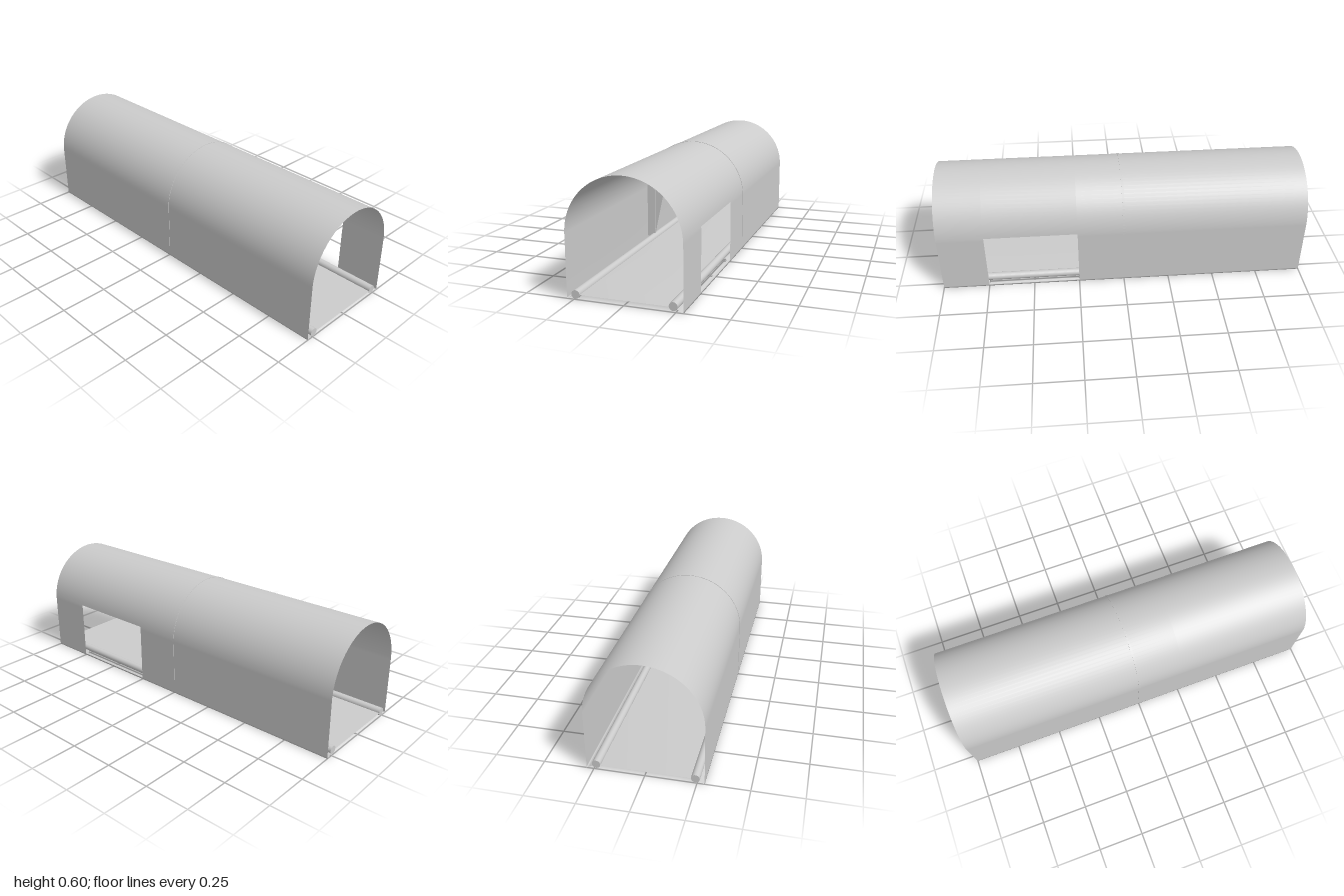
import * as THREE from 'three';

const SPRING = 0.313; // height where the walls turn into the arch
const grey = new THREE.MeshStandardMaterial({ color: 0xcccccc, side: THREE.DoubleSide });

function addMesh(parent, name, geometry) {
  const mesh = new THREE.Mesh(geometry, grey);
  mesh.name = name;
  parent.add(mesh);
  return mesh;
}

// Thin closed cross-section swept along z, with a rectangular opening in one wall
function shellGeometry() {
  const R = 0.286;
  const half = [[0.24, 0.024], [0.271, 0.008], [R, 0], [R, 0.008], [R, 0.05], [R, SPRING]];
  const start = Math.asin((0.33 - SPRING) / R), steps = 20;
  for (let i = 0; i < steps; i++) {
    const a = start + (Math.PI / 2 - start) * i / steps;
    half.push([R * Math.cos(a), SPRING + R * Math.sin(a)]);
  }
  const mirrored = half.map(([x, y]) => [-x, y]).reverse();
  const profile = [...half, [0, SPRING + R], ...mirrored];
  const stations = [-1, 0.25, 0.75, 1];
  const cut = [0, 3, 4, 5]; // profile segments removed by the opening
  const n = profile.length, pos = [], idx = [];
  for (const z of stations) for (const [x, y] of profile) pos.push(x, y, z);
  for (let s = 0; s < stations.length - 1; s++) {
    for (let i = 0; i < n; i++) {
      if (s === 1 && cut.includes(i)) continue;
      const a = s * n + i, b = s * n + (i + 1) % n;
      idx.push(a, b, b + n, a, b + n, a + n);
    }
  }
  const g = new THREE.BufferGeometry();
  g.setAttribute('position', new THREE.Float32BufferAttribute(pos, 3));
  g.setIndex(idx);
  g.computeVertexNormals();
  return g;
}

// Upside-down U between two radii
function archShape(inner, outer, foot) {
  const s = new THREE.Shape();
  s.moveTo(outer, foot);
  s.lineTo(outer, SPRING);
  s.absarc(0, SPRING, outer, 0, Math.PI, false);
  s.lineTo(-outer, foot);
  s.lineTo(-inner, foot);
  s.lineTo(-inner, SPRING);
  s.absarc(0, SPRING, inner, Math.PI, 0, true);
  s.lineTo(inner, foot);
  s.closePath();
  return s;
}

function extrude(shape, depth) {
  return new THREE.ExtrudeGeometry(shape, { depth, bevelEnabled: false, curveSegments: 24 })
    .translate(0, 0, -depth / 2);
}

export function createModel() {
  const model = new THREE.Group();
  model.name = 'tunnel';

  addMesh(model, 'tunnelShell', shellGeometry());

  // Middle rib with bolt holes and narrow slots
  const rib = new THREE.Group();
  rib.name = 'middleRib';
  model.add(rib);
  const ribShape = archShape(0.242, 0.288, 0.025);
  const holes = [
    [0, 0.577, 0.011, 0.011, 0], [0.262, 0.315, 0.011, 0.011, 0],
    [0.126, 0.547, 0.007, 0.004, 0.6], [0.222, 0.44, 0.008, 0.004, -0.9],
    [-0.133, 0.543, 0.011, 0.004, 1.1],
  ];
  for (const [x, y, rx, ry, turn] of holes) {
    const hole = new THREE.Path();
    hole.absellipse(x, y, rx, ry, 0, Math.PI * 2, true, turn);
    ribShape.holes.push(hole);
  }
  addMesh(rib, 'ribWeb', extrude(ribShape, 0.012));
  addMesh(rib, 'ribLip', extrude(archShape(0.24, 0.247, 0.025), 0.016));

  // Flat gusset filling one inner corner of the rib
  const gusset = new THREE.Shape();
  gusset.moveTo(-0.241, 0.04);
  gusset.lineTo(-0.156, 0.435);
  gusset.lineTo(-0.076, 0.54);
  gusset.absarc(0, SPRING, 0.241, Math.PI - 1.25, Math.PI, false);
  gusset.closePath();
  addMesh(rib, 'ribGusset', new THREE.ShapeGeometry(gusset, 16));

  // Round rails along the floor edges
  for (const [name, x, y] of [['leftRail', 0.238, 0.027], ['rightRail', -0.242, 0.024]]) {
    const rail = addMesh(model, name, new THREE.CylinderGeometry(0.021, 0.021, 2, 24));
    rail.rotation.x = Math.PI / 2;
    rail.position.set(x, y, 0);
  }
  return model;
}
